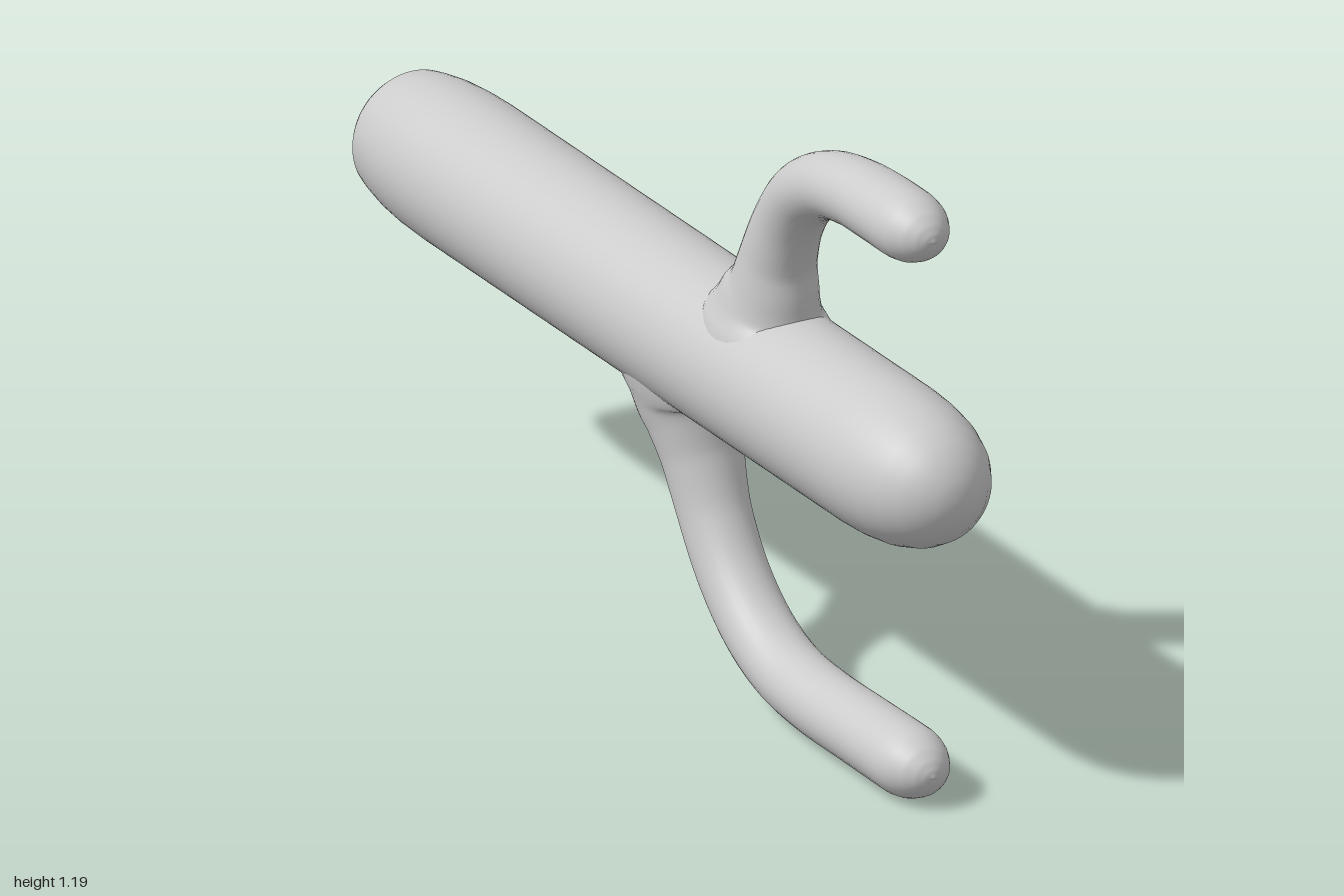
import * as THREE from 'three';

const material = new THREE.MeshStandardMaterial({ color: 0xcccccc });
const AXIS_Y = 0.647;

// Lofts elliptical rings along a curve in the x = 0 plane.
// Each station: [z, y, half width across x, half thickness in the bend plane].
function loft(stations, steps = 90, sides = 32) {
  const path = new THREE.CatmullRomCurve3(stations.map(([z, y]) => new THREE.Vector3(0, y, z)));
  const sizes = new THREE.CatmullRomCurve3(stations.map(([, , w, t]) => new THREE.Vector3(w, t, 0)));
  const across = new THREE.Vector3(1, 0, 0);
  const positions = [], index = [];
  for (let i = 0; i <= steps; i++) {
    const u = i / steps;
    const centre = path.getPoint(u), size = sizes.getPoint(u);
    const normal = path.getTangent(u).cross(across).normalize();
    for (let j = 0; j < sides; j++) {
      const a = (j / sides) * Math.PI * 2;
      const p = centre.clone()
        .addScaledVector(across, Math.cos(a) * size.x)
        .addScaledVector(normal, Math.sin(a) * size.y);
      positions.push(p.x, p.y, p.z);
      if (i < steps) {
        const k = i * sides, n = (j + 1) % sides;
        index.push(k + j, k + n, k + sides + n, k + j, k + sides + n, k + sides + j);
      }
    }
  }
  const geometry = new THREE.BufferGeometry();
  geometry.setAttribute('position', new THREE.Float32BufferAttribute(positions, 3));
  geometry.setIndex(index);
  geometry.computeVertexNormals();
  return geometry;
}

// Rounded end of an arm, from z = 0.81 to the tip at z = 0.91
function roundedTip(y, r) {
  return [0, 0.25, 0.5, 0.7, 0.85, 0.95, 1].map((s) => {
    const a = s * Math.PI / 2;
    const size = Math.max(Math.cos(a) * r, 0.0005);
    return [0.81 + 0.1 * Math.sin(a), y - 0.004 * s, size * 1.06, size];
  });
}

export function createModel() {
  const group = new THREE.Group();
  const add = (geometry, name) => {
    const mesh = new THREE.Mesh(geometry, material);
    mesh.name = name;
    group.add(mesh);
    return mesh;
  };

  // Trunk: flat-ended at the back, domed at the front
  const profile = [
    [0, -1], [0.06, -1], [0.1, -0.998], [0.115, -0.992], [0.125, -0.977], [0.131, -0.95],
    [0.139, -0.9], [0.144, -0.84], [0.146, -0.77], [0.146, 0], [0.146, 0.74], [0.143, 0.8],
    [0.135, 0.86], [0.12, 0.91], [0.1, 0.947], [0.075, 0.974], [0.045, 0.992], [0.02, 0.999], [0, 1],
  ].map(([r, h]) => new THREE.Vector2(r, h));
  const trunk = add(new THREE.LatheGeometry(profile, 64), 'trunk');
  trunk.rotation.x = Math.PI / 2;
  trunk.position.y = AXIS_Y;

  // Upper arm: flared root, then a bend towards the front
  add(loft([
    [0.31, 0.69, 0.125, 0.17],
    [0.315, 0.755, 0.108, 0.155],
    [0.32, 0.79, 0.092, 0.117],
    [0.333, 0.83, 0.081, 0.092],
    [0.35, 0.9, 0.07, 0.074],
    [0.392, 0.99, 0.064, 0.067],
    [0.452, 1.06, 0.066, 0.064],
    [0.54, 1.107, 0.068, 0.063],
    [0.64, 1.127, 0.07, 0.064],
    [0.73, 1.131, 0.072, 0.066],
    ...roundedTip(1.131, 0.067),
  ]), 'upperArm');

  // Lower arm: longer sweep down and forwards
  add(loft([
    [0.03, 0.6, 0.125, 0.19],
    [0.035, 0.535, 0.112, 0.16],
    [0.038, 0.5, 0.101, 0.122],
    [0.052, 0.46, 0.09, 0.096],
    [0.075, 0.4, 0.077, 0.077],
    [0.12, 0.3, 0.068, 0.069],
    [0.19, 0.203, 0.067, 0.066],
    [0.28, 0.13, 0.068, 0.064],
    [0.38, 0.088, 0.069, 0.064],
    [0.5, 0.073, 0.07, 0.066],
    [0.66, 0.072, 0.071, 0.067],
    ...roundedTip(0.072, 0.068),
  ]), 'lowerArm');

  return group;
}
